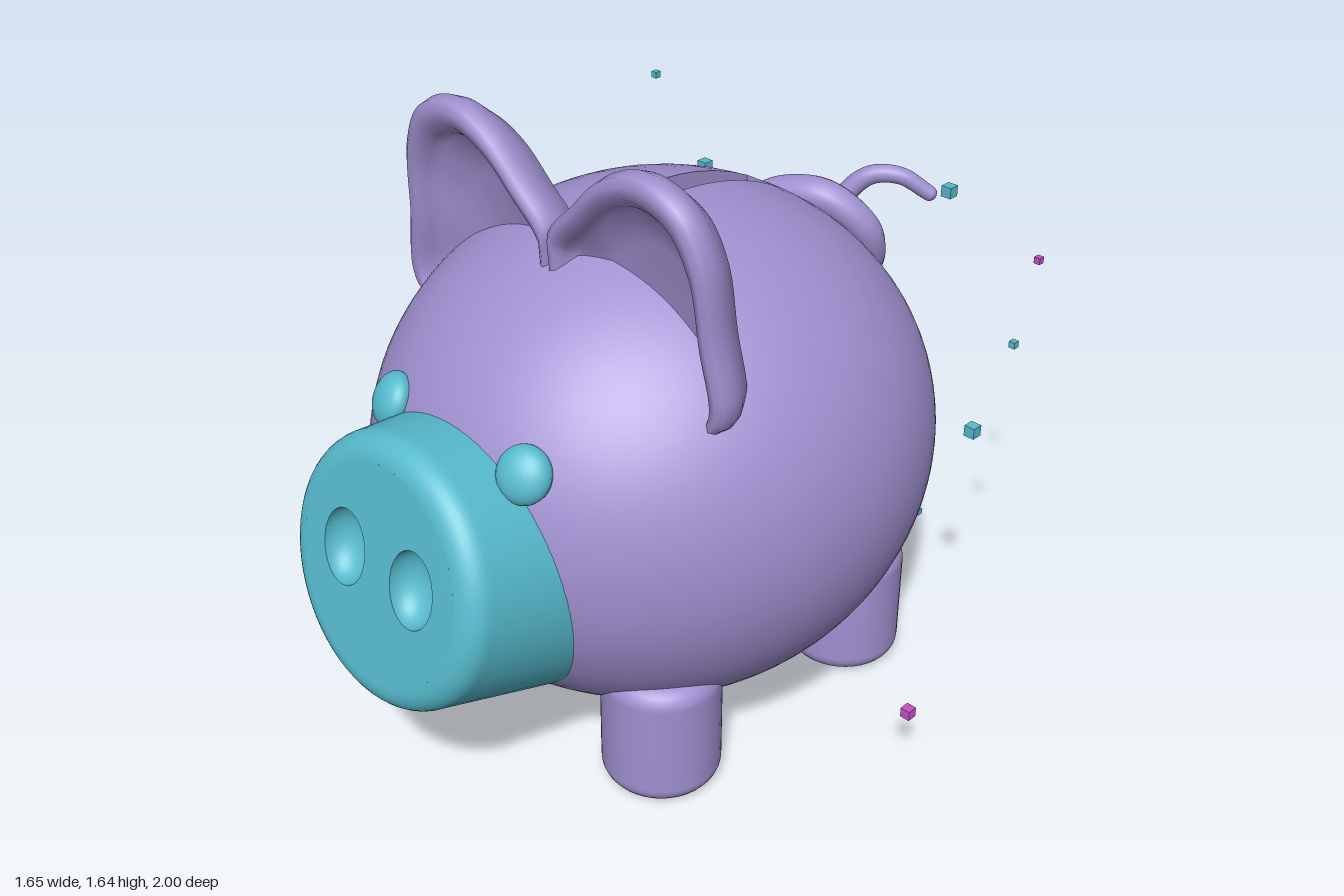
import * as THREE from 'three';

const purple = new THREE.MeshStandardMaterial({ color: 0xa090d0 });
const teal = new THREE.MeshStandardMaterial({ color: 0x56bacd });
const magenta = new THREE.MeshStandardMaterial({ color: 0xc352c3 });
purple.name = 'purple';
teal.name = 'teal';
magenta.name = 'magenta';

const BODY = { y: 0.72, z: 0.03, rx: 0.7, ry: 0.67, rz: 0.755 };

function part(name, geometry, material, x = 0, y = 0, z = 0) {
  const mesh = new THREE.Mesh(geometry, material);
  mesh.name = name;
  mesh.position.set(x, y, z);
  return mesh;
}

// Ellipsoid with poles on the sides; the faces over the coin slot are left out
function bodyGeometry() {
  const g = new THREE.SphereGeometry(1, 72, 54).rotateZ(Math.PI / 2);
  const p = g.attributes.position, idx = g.index.array, keep = [];
  for (let i = 0; i < idx.length; i += 3) {
    const t = [idx[i], idx[i + 1], idx[i + 2]];
    const mean = (k) => t.reduce((s, v) => s + p.getComponent(v, k), 0) / 3;
    const inSlot = mean(1) > 0 && Math.abs(mean(0)) < 0.058 && mean(2) < 0 && mean(2) > -0.5;
    if (!inSlot) keep.push(...t);
  }
  g.setIndex(keep);
  return g.scale(BODY.rx, BODY.ry, BODY.rz).translate(0, BODY.y, BODY.z);
}

// Open box turned inside out, its rim following the curve of the back
function slotGeometry() {
  const half = BODY.rx * Math.sin(Math.PI / 54), length = BODY.rz * 0.5;
  const g = new THREE.BoxGeometry(half * 2, 1, length, 1, 1, 6);
  g.translate(0, 0, BODY.z - length / 2);
  const p = g.attributes.position;
  for (let i = 0; i < p.count; i++) {
    const k = (p.getZ(i) - BODY.z) / BODY.rz;
    const top = BODY.y + BODY.ry * Math.sqrt(1 - k * k);
    p.setY(i, top - (p.getY(i) > 0 ? 0 : 0.09));
  }
  const lid = g.groups[2], idx = Array.from(g.index.array);
  idx.splice(lid.start, lid.count);
  g.setIndex(idx.reverse());
  g.clearGroups();
  g.computeVertexNormals();
  return g;
}

// Scooped ear: the outline is shrunk in rings, from the domed back over the rim into the hollow
function earGeometry(side) {
  const outline = new THREE.CatmullRomCurve3([
    [0, 1.4], [0.09, 1.5], [0.19, 1.595], [0.31, 1.64], [0.43, 1.6], [0.495, 1.49],
    [0.52, 1.3], [0.545, 1.12], [0.515, 1.065], [0.3, 1.08], [0, 1.15], [0, 1.28],
  ].map(([x, y]) => new THREE.Vector3(x, y, 0)), true, 'centripetal');
  const rings = [[0, -0.2], [0.4, -0.195], [0.7, -0.17], [0.88, -0.13], [0.97, -0.08], [1, -0.045],
    [0.985, -0.012], [0.94, 0], [0.88, -0.005], [0.83, -0.03], [0.79, -0.065], [0.6, -0.1], [0, -0.115]];
  const n = 96, pts = outline.getSpacedPoints(n), pos = [], idx = [];
  rings.forEach(([s, dz], i) => {
    for (let j = 0; j < n; j++) {
      const x = Math.max(0, 0.2 + (Math.max(0, pts[j].x) - 0.2) * s);
      const y = 1.12 + (pts[j].y - 1.12) * s;
      pos.push(side * x, y, 0.375 + 0.07 * (y - 1.1) + dz);
      if (i === rings.length - 1) continue;
      const a = i * n + j, b = i * n + (j + 1) % n, c = a + n, d = b + n;
      if (side > 0) idx.push(a, c, b, b, c, d);
      else idx.push(a, b, c, b, d, c);
    }
  });
  const g = new THREE.BufferGeometry();
  g.setAttribute('position', new THREE.Float32BufferAttribute(pos, 3));
  g.setIndex(idx);
  g.computeVertexNormals();
  return g;
}

// Cylinder with rounded ends
function footGeometry(r, h, f) {
  const pts = [new THREE.Vector2(0, 0)];
  for (const [cy, start] of [[f, -Math.PI / 2], [h - f, 0]]) {
    for (let i = 0; i <= 6; i++) {
      const a = start + (i / 6) * Math.PI / 2;
      pts.push(new THREE.Vector2(r - f + f * Math.cos(a), cy + f * Math.sin(a)));
    }
  }
  pts.push(new THREE.Vector2(0, h));
  return new THREE.LatheGeometry(pts, 40);
}

// Tilted snout with a rounded rim and two hollow nostrils
function makeSnout() {
  const snout = new THREE.Group();
  snout.name = 'snout';
  snout.position.set(0, 0.72, 0.94);
  snout.rotation.x = -0.21;
  const f = 0.065, r = 0.337;
  const profile = [new THREE.Vector2(0.388, -0.5)];
  for (let i = 0; i <= 8; i++) {
    const a = (i / 8) * Math.PI / 2;
    profile.push(new THREE.Vector2(r - f + f * Math.cos(a), -f + f * Math.sin(a)));
  }
  snout.add(part('snoutSide', new THREE.LatheGeometry(profile, 64).rotateX(Math.PI / 2), teal));

  const face = new THREE.Shape().absarc(0, 0, r - f, 0, Math.PI * 2);
  const bowl = [];
  for (let i = 0; i <= 10; i++) {
    const a = (i / 10) * Math.PI / 2;
    bowl.push(new THREE.Vector2(Math.cos(a), -Math.sin(a)));
  }
  for (const s of [-1, 1]) {
    face.holes.push(new THREE.Path().absellipse(s * 0.122, 0.02, 0.075, 0.097, 0, Math.PI * 2, true));
    const g = new THREE.LatheGeometry(bowl, 48).rotateX(Math.PI / 2).scale(0.075, 0.097, 0.065);
    snout.add(part('nostril', g, teal, s * 0.122, 0.02, 0));
  }
  snout.add(part('snoutFace', new THREE.ShapeGeometry(face, 48), teal));
  return snout;
}

// Curly tail: a tube whose rings narrow toward the tip
function makeTail() {
  const tail = new THREE.Group();
  tail.name = 'tail';
  const curve = new THREE.CatmullRomCurve3([
    [-0.14, 1.13, -0.5], [-0.08, 1.17, -0.54], [0.03, 1.185, -0.58], [0.12, 1.1, -0.645], [0.1, 0.98, -0.7],
    [0.02, 0.93, -0.745], [-0.07, 0.97, -0.79], [-0.1, 1.06, -0.83], [-0.05, 1.13, -0.875],
    [0.02, 1.135, -0.925], [0.085, 1.085, -0.978],
  ].map((p) => new THREE.Vector3(...p)));
  const steps = 110, sides = 16, tip = 0.022, base = 0.055;
  const g = new THREE.TubeGeometry(curve, steps, base, sides);
  const p = g.attributes.position, v = new THREE.Vector3();
  for (let i = 0; i <= steps; i++) {
    const c = curve.getPointAt(i / steps);
    const k = 1 + (tip / base - 1) * (i / steps);
    for (let j = 0; j <= sides; j++) {
      const n = i * (sides + 1) + j;
      v.fromBufferAttribute(p, n).sub(c).multiplyScalar(k).add(c);
      p.setXYZ(n, v.x, v.y, v.z);
    }
  }
  tail.add(part('tailTube', g, purple));
  for (const [t, r] of [[0, base], [1, tip]]) {
    tail.add(part('tailEnd', new THREE.SphereGeometry(r, 16, 12), purple, ...curve.getPointAt(t).toArray()));
  }
  return tail;
}

export function createModel() {
  const model = new THREE.Group();
  model.name = 'piggyBank';
  model.add(part('body', bodyGeometry(), purple), part('coinSlot', slotGeometry(), purple));
  model.add(makeSnout(), makeTail());

  for (const s of [-1, 1]) {
    const label = s > 0 ? 'left' : 'right';
    model.add(part(label + 'Ear', earGeometry(s), purple));

    // Eye, flattened along the body surface
    const eye = part(label + 'Eye', new THREE.SphereGeometry(1, 24, 16), teal, s * 0.235, 0.985, 0.683);
    eye.scale.set(0.068, 0.07, 0.042);
    eye.lookAt(s * 0.7, 1.6, 1.8);
    model.add(eye);

    for (const [end, z] of [['Front', 0.367], ['Back', -0.353]]) {
      model.add(part(label + end + 'Foot', footGeometry(0.153, 0.35, 0.05), purple, s * 0.352, 0, z));
    }
  }

  // Floating sparkle cubes: size, x, y, z
  const sparkles = [
    [teal, 0.03, 0.34, 1.26, -0.707], [teal, 0.03, -0.46, 1.11, -0.637],
    [teal, 0.03, 0.66, 0.79, -0.437], [teal, 0.03, -0.04, 0.515, -0.772],
    [teal, 0.018, -0.635, 1.345, -0.615], [teal, 0.018, 0.64, 0.96, -0.615],
    [teal, 0.018, -0.817, 0.235, -0.553], [teal, 0.018, 0.232, 0.14, -0.845],
    [magenta, 0.018, -0.232, 0.73, -0.845], [magenta, 0.018, 0.573, 1.11, -0.797],
    [magenta, 0.03, -0.728, 0.39, -0.322], [magenta, 0.027, 0.806, 0.193, -0.053],
  ];
  for (const [material, size, x, y, z] of sparkles) {
    model.add(part('sparkle', new THREE.BoxGeometry(size, size, size), material, x, y, z));
  }
  return model;
}
